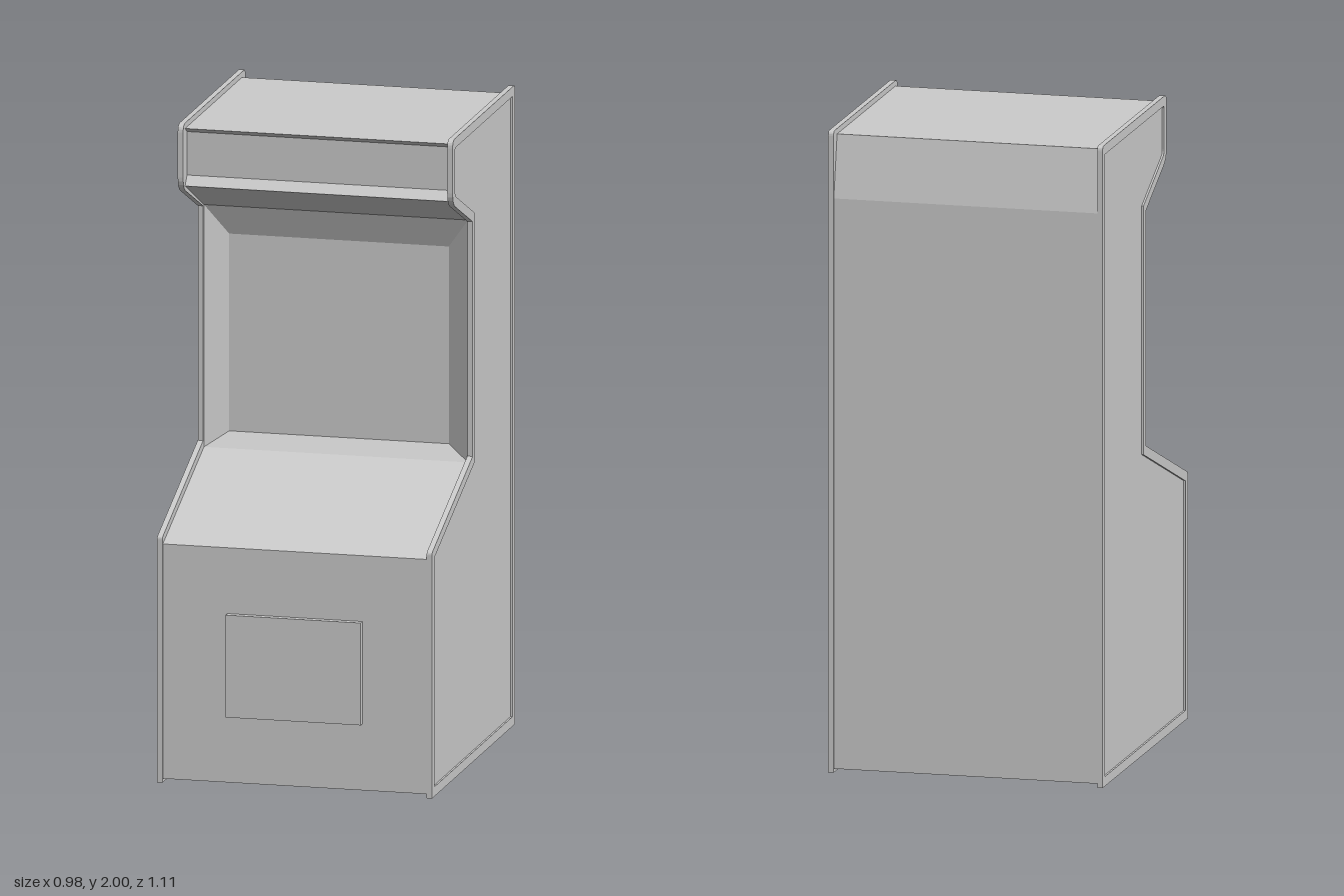
import * as THREE from 'three';

const grey = new THREE.MeshStandardMaterial({ color: 0xcccccc, flatShading: true });
const sheet = new THREE.MeshStandardMaterial({ color: 0xcccccc, flatShading: true, side: THREE.DoubleSide });

const INNER = 0.415;      // half width between the side panels
const PLATE = 0.011;      // side panel thickness
const RIM = 0.006;        // height of the rim on the panel's outer face

// Closed outline from [z, y, cornerRadius] points, rounding the corners that have a radius
function roundedShape(points) {
  const shape = new THREE.Shape();
  const n = points.length;
  points.forEach(([x, y, r], i) => {
    const p = new THREE.Vector2(x, y);
    const toward = (q) => new THREE.Vector2(q[0], q[1]).sub(p).setLength(r || 0).add(p);
    const a = toward(points[(i + n - 1) % n]);
    const b = toward(points[(i + 1) % n]);
    if (i === 0) shape.moveTo(a.x, a.y); else shape.lineTo(a.x, a.y);
    if (r) shape.quadraticCurveTo(p.x, p.y, b.x, b.y);
  });
  shape.closePath();
  return shape;
}

// Upright slab of a [z, y] shape, centred on x = 0
function slab(shape, thickness) {
  const g = new THREE.ExtrudeGeometry(shape, { depth: thickness, bevelEnabled: false, curveSegments: 5 });
  g.rotateY(-Math.PI / 2);
  g.translate(thickness / 2, 0, 0);
  return g;
}

// Quads joining two rows of 3D points
function strip(rowA, rowB) {
  const pos = [];
  for (let i = 0; i < rowA.length - 1; i++) {
    const [a, b, c, d] = [rowA[i], rowB[i], rowB[i + 1], rowA[i + 1]];
    pos.push(...a, ...b, ...c, ...a, ...c, ...d);
  }
  const g = new THREE.BufferGeometry();
  g.setAttribute('position', new THREE.Float32BufferAttribute(pos, 3));
  g.computeVertexNormals();
  return g;
}

// Sheet that follows a [z, y] profile across the cabinet width
function profileSheet(profile) {
  const row = (x) => profile.map(([z, y]) => [x, y, z]);
  return strip(row(-INNER), row(INNER));
}

// Rectangle loop (closed) at depth z
function frameLoop(halfW, y0, y1, z) {
  return [[-halfW, y0, z], [halfW, y0, z], [halfW, y1, z], [-halfW, y1, z], [-halfW, y0, z]];
}

export function createModel() {
  const model = new THREE.Group();
  model.name = 'arcadeCabinet';
  const add = (name, geometry, material = sheet) => {
    const mesh = new THREE.Mesh(geometry, material);
    mesh.name = name;
    model.add(mesh);
    return mesh;
  };

  // Side panels: a plate with a shallow raised rim on the outer face
  const outline = [
    [-0.508, 0], [0.509, 0], [0.509, 0.768, 0.008], [0.01, 0.956],
    [0.01, 1.69], [0.256, 1.8, 0.035], [0.256, 2, 0.025], [-0.508, 2, 0.015],
  ];
  const inset = [
    [-0.478, 0.03], [0.479, 0.03], [0.479, 0.747], [-0.02, 0.935],
    [-0.02, 1.71], [0.226, 1.82, 0.015], [0.226, 1.97, 0.01], [-0.478, 1.97],
  ];
  const plate = slab(roundedShape(outline), PLATE);
  const rimShape = roundedShape(outline);
  rimShape.holes.push(roundedShape(inset));
  const rim = slab(rimShape, RIM);
  for (const [name, side] of [['left', 1], ['right', -1]]) {
    add(name + 'Panel', plate, grey).position.x = side * (INNER + PLATE / 2);
    add(name + 'PanelRim', rim, grey).position.x = side * (INNER + PLATE + RIM / 2);
  }

  // Shell between the panels, open underneath
  add('lowerFront', profileSheet([[0.505, 0.012], [0.505, 0.746]]));
  add('controlPanel', profileSheet([[0.505, 0.746], [0, 0.934]]));
  add('canopyUnderside', profileSheet([[0, 1.692], [0.232, 1.803]]));
  add('marquee', profileSheet([[0.232, 1.803], [0.208, 1.832], [0.208, 1.968], [0.232, 1.983]]));
  add('roof', profileSheet([[0.232, 1.983], [-0.466, 1.983]]));
  add('back', profileSheet([[-0.466, 1.983], [-0.505, 1.79], [-0.505, 0.012]]));

  // Sloping bezel and recessed screen
  add('screenBezel', strip(frameLoop(INNER, 0.934, 1.692, 0), frameLoop(0.345, 0.98, 1.597, -0.036)));
  const screen = add('screen', new THREE.PlaneGeometry(0.69, 0.617));
  screen.position.set(0, 1.2885, -0.036);

  // Service door set through the lower front
  const door = add('serviceDoor', new THREE.BoxGeometry(0.424, 0.32, 0.036), grey);
  door.position.set(0, 0.38, 0.508);

  // The whole cabinet stands slightly turned
  model.rotation.y = 0.121;
  return model;
}
